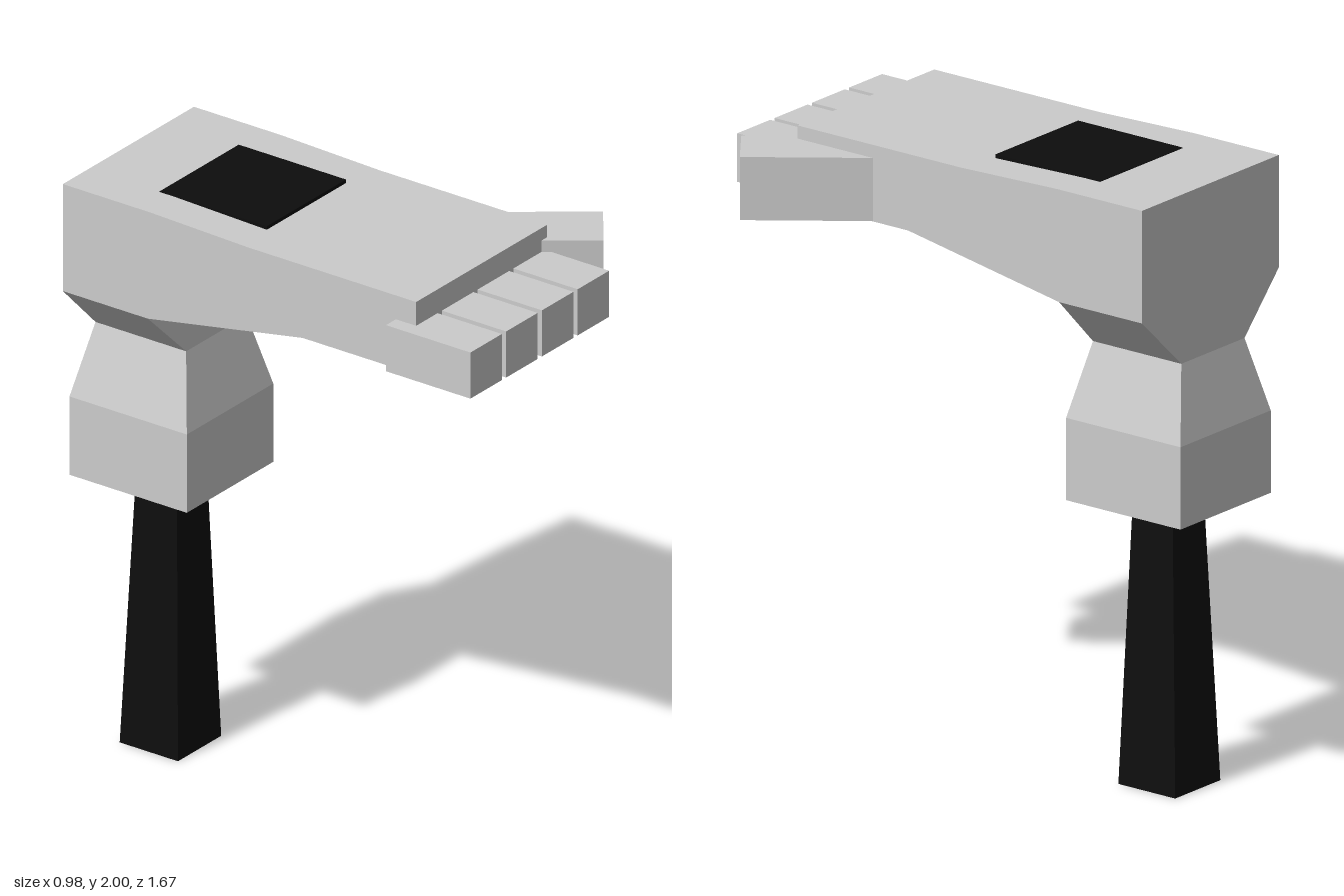
import * as THREE from 'three';

const grey = new THREE.MeshStandardMaterial({ color: 0xcccccc, flatShading: true });
const black = new THREE.MeshStandardMaterial({ color: 0x0d0d0d, flatShading: true });

function add(group, name, geometry, material = grey) {
  const mesh = new THREE.Mesh(geometry, material);
  mesh.name = name;
  group.add(mesh);
  return mesh;
}

// Box given by its extents on each axis
function extents(x0, x1, y0, y1, z0, z1) {
  return new THREE.BoxGeometry(x1 - x0, y1 - y0, z1 - z0)
    .translate((x0 + x1) / 2, (y0 + y1) / 2, (z0 + z1) / 2);
}

// Stack of rectangles [y, x0, x1, z0, z1], bottom to top, joined and capped
function loftRects(sections) {
  const rings = sections.map(([y, x0, x1, z0, z1]) =>
    [[x0, y, z0], [x0, y, z1], [x1, y, z1], [x1, y, z0]]);
  const pos = [];
  const quad = (a, b, c, d) => [a, b, c, a, c, d].forEach((p) => pos.push(...p));
  for (let s = 0; s < rings.length - 1; s++) {
    for (let i = 0; i < 4; i++) {
      const j = (i + 1) % 4;
      quad(rings[s][i], rings[s][j], rings[s + 1][j], rings[s + 1][i]);
    }
  }
  const bottom = rings[0], top = rings[rings.length - 1];
  quad(top[0], top[1], top[2], top[3]);
  quad(bottom[3], bottom[2], bottom[1], bottom[0]);
  const geometry = new THREE.BufferGeometry();
  geometry.setAttribute('position', new THREE.Float32BufferAttribute(pos, 3));
  geometry.computeVertexNormals();
  return geometry;
}

export function createModel() {
  const model = new THREE.Group();
  model.name = 'handOnStick';

  // Tapered stick
  add(model, 'stick', loftRects([
    [0, -0.215, 0.01, -0.725, -0.5],
    [0.94, -0.18, -0.025, -0.687, -0.53],
  ]), black);

  // Cuff, narrowing to the wrist and flaring into the palm
  add(model, 'wrist', loftRects([
    [0.935, -0.328, 0.122, -0.835, -0.382],
    [1.205, -0.328, 0.122, -0.835, -0.382],
    [1.45, -0.26, 0.055, -0.785, -0.435],
    [1.63, -0.442, 0.24, -0.776, -0.448],
  ]));

  // Palm: side profile (z, y) extruded across x
  const profile = new THREE.Shape([
    [0.588, 1.737], [0.588, 1.988], [-0.06, 1.988], [-0.44, 1.999],
    [-0.776, 1.999], [-0.776, 1.63], [-0.448, 1.63], [0.15, 1.737],
  ].map(([z, y]) => new THREE.Vector2(z, y)));
  add(model, 'palm', new THREE.ExtrudeGeometry(profile, { depth: 0.682, bevelEnabled: false })
    .rotateY(-Math.PI / 2).translate(0.24, 0, 0));

  // Dark square block passing through the palm
  add(model, 'palmBlock', extents(-0.308, 0.104, 1.655, 2.001, -0.502, -0.088), black);

  // Four fingers
  for (let i = 0; i < 4; i++) {
    const x = -0.494 + i * 0.186;
    add(model, 'finger' + (i + 1), extents(x, x + 0.164, 1.747, 1.906, 0.51, 0.836));
  }

  // Thumb, angled outward; its tip is centred on the mesh origin
  const thumb = add(model, 'thumb', extents(-0.102, 0.102, 1.738, 1.945, -0.5, 0));
  thumb.position.set(0.408, 0, 0.68);
  thumb.rotation.y = Math.atan2(0.25, 0.33);

  return model;
}
